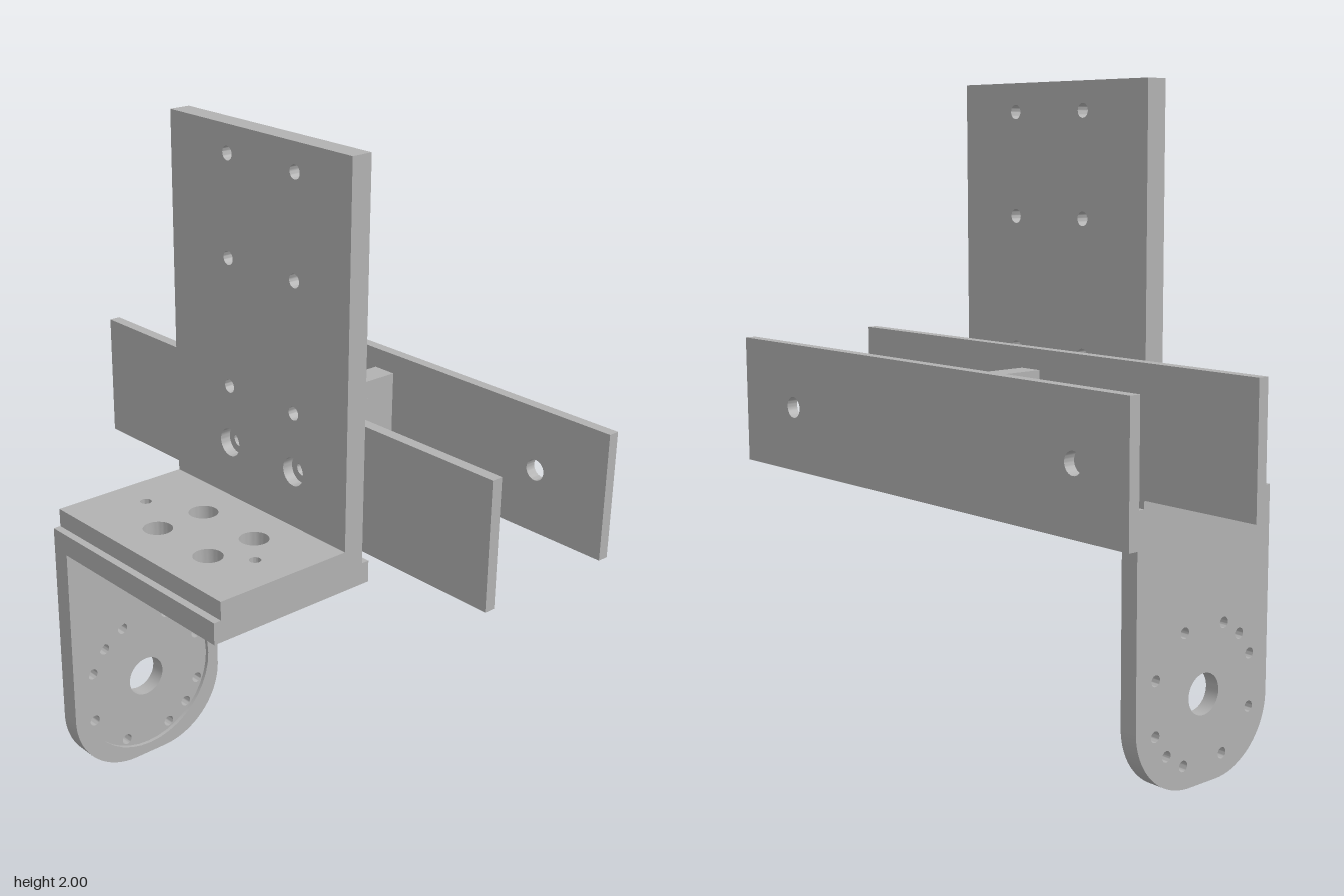
import * as THREE from 'three';
import { toCreasedNormals } from 'three/addons/utils/BufferGeometryUtils.js';

const metal = new THREE.MeshStandardMaterial({ color: 0xb2b2b2 });
metal.name = 'grey metal';

// outline helpers
function rect(u0, u1, v0, v1) {
  return new THREE.Shape()
    .moveTo(u0, v0).lineTo(u1, v0).lineTo(u1, v1).lineTo(u0, v1).closePath();
}

function drill(shape, r, points) {
  for (const [u, v] of points) {
    shape.holes.push(new THREE.Path().absarc(u, v, r, 0, Math.PI * 2, true));
  }
  return shape;
}

// extrude a shape from `from` to `to` along the given axis
// x: shape is (-z, y)   y: shape is (x, -z)   z: shape is (x, y)
function slab(name, shape, axis, from, to) {
  let geo = new THREE.ExtrudeGeometry(shape, {
    depth: to - from, bevelEnabled: false, curveSegments: 20,
  });
  geo.translate(0, 0, from);
  if (axis === 'x') geo.rotateY(Math.PI / 2);
  if (axis === 'y') geo.rotateX(-Math.PI / 2);
  geo = toCreasedNormals(geo, 0.6);
  const mesh = new THREE.Mesh(geo, metal);
  mesh.name = name;
  return mesh;
}

// leg outline with two rounded bottom corners
function legShape() {
  const r = 0.22;
  return new THREE.Shape()
    .moveTo(-0.51, 0.85)
    .lineTo(-0.51, r)
    .absarc(-0.51 + r, r, r, Math.PI, Math.PI * 1.5, false)
    .lineTo(0.04 - r, 0)
    .absarc(0.04 - r, r, r, Math.PI * 1.5, Math.PI * 2, false)
    .lineTo(0.04, 0.85)
    .closePath();
}

// lug outline, flat at xFlat and rounded at xTip
function lugShape(xFlat, xTip) {
  const r = 0.125, cy = 1.073, dir = Math.sign(xTip - xFlat);
  const s = new THREE.Shape()
    .moveTo(xFlat, cy - r)
    .lineTo(xTip - dir * r, cy - r);
  s.absarc(xTip - dir * r, cy, r, -Math.PI / 2, dir > 0 ? Math.PI / 2 : -Math.PI * 1.5, dir < 0);
  s.lineTo(xFlat, cy + r).closePath();
  return drill(s, 0.04, [[0.262, cy]]);
}

export function createModel() {
  const model = new THREE.Group();
  model.name = 'hingedBracket';
  const zBack = -0.385, zFront = 0.357;

  // base: stepped shelf with four counterbored and two plain holes
  const bores = [], plain = [[-0.266, 0.264], [-0.266, -0.232]];
  for (const x of [-0.348, -0.184]) for (const v of [0.097, -0.13]) bores.push([x, v]);
  const lower = drill(drill(rect(-0.51, 0.04, -zFront, 0.325), 0.022, bores), 0.017, plain);
  const upper = drill(drill(rect(-0.487, -0.05, -zFront, -zBack), 0.043, bores), 0.017, plain);
  model.add(slab('shelfLower', lower, 'y', 0.785, 0.85));
  model.add(slab('shelfUpper', upper, 'y', 0.85, 0.905));

  // leg: back layer with a bolt circle, front layer with a shallow round recess
  const cx = -0.235, cy = 0.27;
  const bolts = [135, -45];
  for (let i = 0; i < 8; i++) bolts.push(22.5 + i * 45);
  const boltPoints = bolts.map((deg) => {
    const a = THREE.MathUtils.degToRad(deg);
    return [cx + 0.214 * Math.cos(a), cy + 0.214 * Math.sin(a)];
  });
  const legBack = drill(drill(legShape(), 0.063, [[cx, cy]]), 0.017, boltPoints);
  model.add(slab('legBack', legBack, 'z', zBack, -0.337));
  model.add(slab('legRecess', drill(legShape(), 0.237, [[cx, cy]]), 'z', -0.337, -0.325));

  // upright: two layers so the lower pair of holes is counterbored
  const small = [], low = [];
  for (const u of [-0.14, 0.137]) {
    for (const y of [1.92, 1.627, 1.248]) small.push([u, y]);
    low.push([u, 1.073]);
  }
  for (const [name, r, x0, x1] of [
    ['uprightOuter', 0.042, -0.05, -0.017],
    ['uprightInner', 0.02, -0.017, 0.015],
  ]) {
    const s = rect(-zFront, -zBack, 0.85, 2);
    model.add(slab(name, drill(drill(s, 0.02, small), r, low), 'x', x0, x1));
  }

  // two long bars
  const bar = () => rect(-0.817, 0.817, 0.885, 1.258);
  model.add(slab('innerBar', drill(bar(), 0.02, low), 'x', 0.018, 0.052));
  model.add(slab('outerBar', drill(bar(), 0.031, [[-0.57, 1.073], [0.625, 1.073]]), 'x', 0.472, 0.505));

  // overlapping hinge lugs
  model.add(slab('innerLug', lugShape(0.052, 0.365), 'z', 0, 0.074));
  model.add(slab('outerLug', lugShape(0.472, 0.157), 'z', -0.078, -0.002));

  return model;
}
